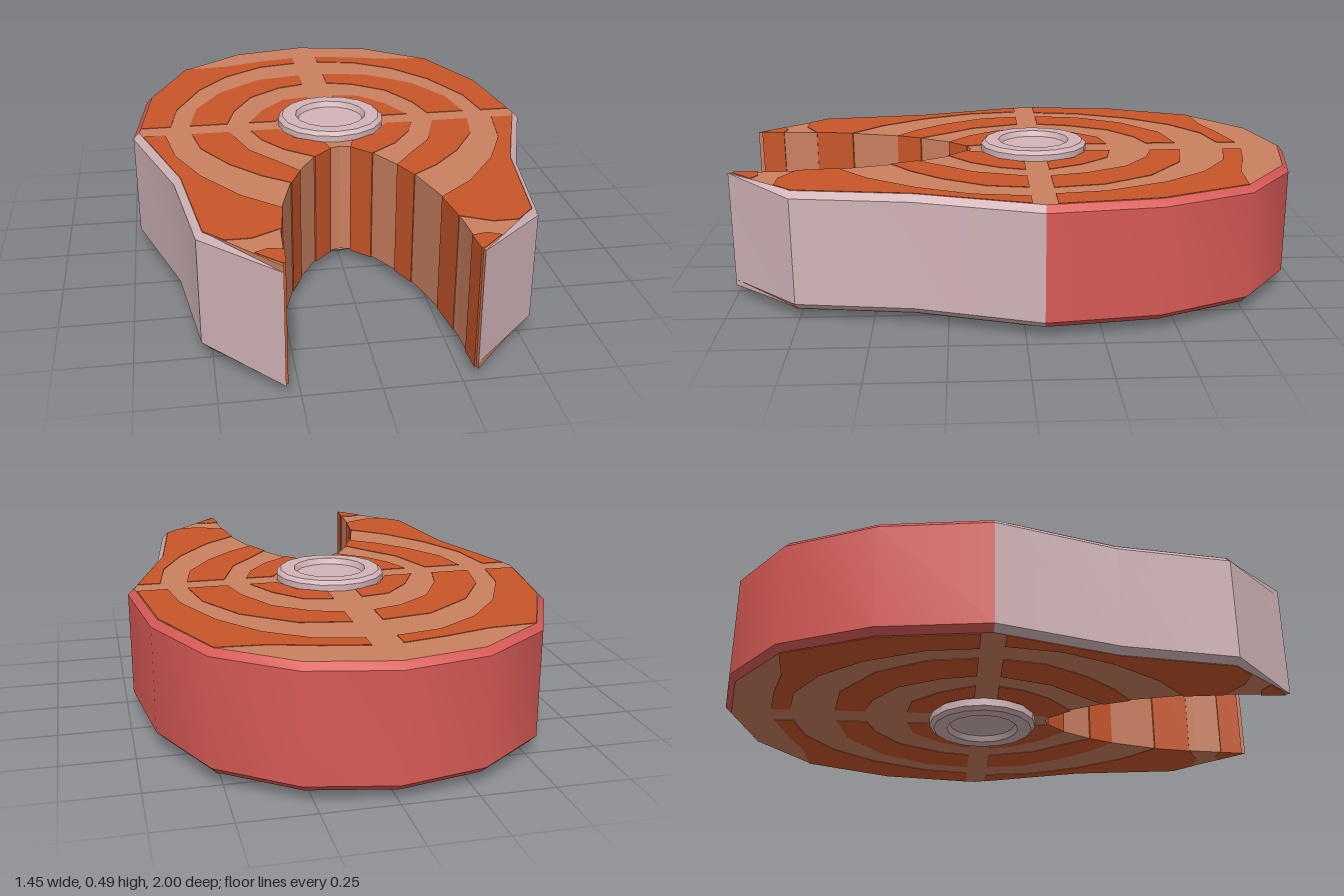
import * as THREE from 'three';
import { toCreasedNormals } from 'three/addons/utils/BufferGeometryUtils.js';

const Y0 = 0.04, Y1 = 0.45, BEVEL = 0.022;

// Right half of the outer edge (x, z), from the back centre to the tip of the flap
const EDGE = [[0, -1], [0.29, -0.94], [0.535, -0.755], [0.677, -0.44], [0.727, -0.06],
  [0.59, 0.36], [0.535, 0.76], [0.295, 1]];
// Right half of the belly notch, from the tip to the centre
const NOTCH = [[0.285, 0.9], [0.28, 0.8], [0.26, 0.63], [0.21, 0.45], [0.17, 0.36],
  [0.105, 0.25], [0.035, 0.18], [0, 0.17]];

// Dark muscle bands of the right half
const BANDS = {
  outerBackBand: [[0.05, -0.83], [0.2, -0.8], [0.35, -0.757], [0.515, -0.745], [0.652, -0.432],
    [0.697, -0.1], [0.59, -0.1], [0.565, -0.27], [0.47, -0.48], [0.35, -0.63], [0.2, -0.73], [0.05, -0.76]],
  middleBackBand: [[0.05, -0.6], [0.22, -0.57], [0.39, -0.44], [0.49, -0.27], [0.52, -0.1],
    [0.38, -0.1], [0.35, -0.22], [0.27, -0.37], [0.15, -0.46], [0.05, -0.49]],
  innerBackBand: [[0.05, -0.34], [0.15, -0.32], [0.24, -0.22], [0.3, -0.1], [0.2, -0.1],
    [0.15, -0.2], [0.05, -0.25]],
  innerFrontBand: [[0.2, -0.02], [0.3, -0.02], [0.27, 0.07], [0.2, 0.17], [0.1, 0.252],
    [0.035, 0.186], [0.05, 0.13], [0.15, 0.07]],
  middleFrontBand: [[0.38, -0.02], [0.515, -0.02], [0.49, 0.12], [0.4, 0.27], [0.3, 0.38],
    [0.206, 0.451], [0.166, 0.361], [0.24, 0.26], [0.32, 0.16]],
  outerFrontBand: [[0.61, -0.02], [0.69, -0.02], [0.567, 0.36], [0.513, 0.755], [0.45, 0.82],
    [0.37, 0.82], [0.275, 0.77], [0.256, 0.63], [0.38, 0.52], [0.5, 0.35], [0.58, 0.17]],
  tipBand: [[0.281, 0.9], [0.33, 0.89], [0.37, 0.91], [0.3, 0.98], [0.287, 0.985]],
};

const mirror = pts => pts.map(([x, z]) => [-x, z]);

// Upright prism from a floor plan
function prism(pts, y0, y1) {
  const shape = new THREE.Shape(pts.map(([x, z]) => new THREE.Vector2(x, -z)));
  const geo = new THREE.ExtrudeGeometry(shape, { depth: y1 - y0, bevelEnabled: false });
  return geo.rotateX(-Math.PI / 2).translate(0, y0, 0);
}

// Moves an open path inwards along its averaged normals; the tips stay in place
function inset(path, d) {
  return path.map((p, i) => {
    if (i === 0 || i === path.length - 1) return p;
    const normal = (a, b) => new THREE.Vector2(b[1] - a[1], a[0] - b[0]).normalize();
    const n = normal(path[i - 1], p).add(normal(p, path[i + 1])).normalize();
    return [p[0] - n.x * d, p[1] - n.y * d];
  });
}

// Skin strip with chamfered top and bottom between two points of the path
function skinStrip(path, inner, from, to) {
  const rows = [[inner, Y0], [path, Y0 + BEVEL], [path, Y1 - BEVEL], [inner, Y1]];
  const pos = [], idx = [], cols = to - from + 1;
  for (const [line, y] of rows)
    for (let i = from; i <= to; i++) pos.push(line[i][0], y, line[i][1]);
  for (let r = 0; r < rows.length - 1; r++)
    for (let i = 0; i < cols - 1; i++) {
      const a = r * cols + i, b = a + 1, c = b + cols, d = a + cols;
      idx.push(a, d, c, a, c, b);
    }
  const geo = new THREE.BufferGeometry();
  geo.setAttribute('position', new THREE.Float32BufferAttribute(pos, 3));
  geo.setIndex(idx);
  return toCreasedNormals(geo, 0.62);
}

export function createModel() {
  const material = (name, color, side = THREE.FrontSide) => {
    const m = new THREE.MeshStandardMaterial({ color, side });
    m.name = name;
    return m;
  };
  const lightFlesh = material('light flesh', 0xca8060);
  const darkFlesh = material('dark flesh', 0xc8562a);
  const redSkin = material('red skin', 0xd85a56, THREE.DoubleSide);
  const paleSkin = material('pale skin and bone', 0xd2b4b8, THREE.DoubleSide);

  const model = new THREE.Group();
  model.name = 'fishSteak';
  const add = (name, geo, mat) => {
    const mesh = new THREE.Mesh(geo, mat);
    mesh.name = name;
    model.add(mesh);
    return mesh;
  };

  // Flesh body inside the skin
  const path = [...mirror(EDGE.slice(1)).reverse(), ...EDGE];
  const inner = inset(path, BEVEL);
  const notch = [...NOTCH, ...mirror(NOTCH.slice(0, -1)).reverse()];
  add('flesh', prism([...inner, ...notch], Y0, Y1), lightFlesh);

  // Dark bands run right through, standing just proud of the flesh
  for (const [name, pts] of Object.entries(BANDS)) {
    add(name + 'Left', prism(pts, Y0 - 0.002, Y1 + 0.002), darkFlesh);
    add(name + 'Right', prism(mirror(pts), Y0 - 0.002, Y1 + 0.002), darkFlesh);
  }

  // Red skin round the back, pale skin on the two belly flaps
  add('backSkin', skinStrip(path, inner, 3, 11), redSkin);
  add('bellySkinRight', skinStrip(path, inner, 0, 3), paleSkin);
  add('bellySkinLeft', skinStrip(path, inner, 11, 14), paleSkin);

  // Round backbone with a shallow dish at each end
  const half = [[0, 0.02], [0.12, 0.02], [0.13, 0], [0.18, 0], [0.195, 0.013]];
  const profile = [...half, ...half.map(([r, y]) => [r, 0.485 - y]).reverse()]
    .map(([r, y]) => new THREE.Vector2(r, y));
  const bone = add('backbone', toCreasedNormals(new THREE.LatheGeometry(profile, 16), 0.6), paleSkin);
  bone.position.z = -0.063;

  return model;
}
